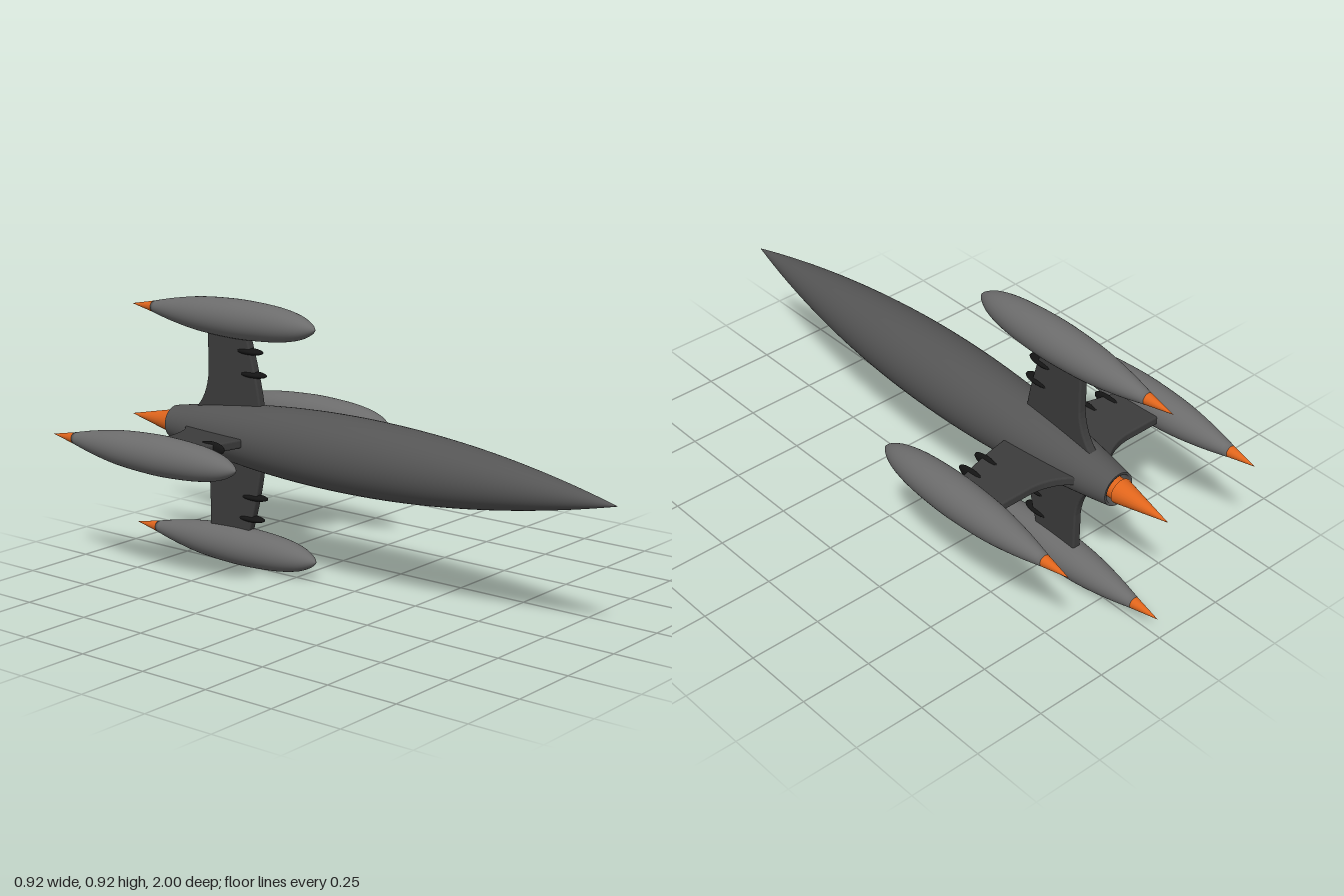
import * as THREE from 'three';

const AXIS_Y = 0.465; // height of the fuselage axis
const ARM = 0.393;    // distance from the axis to each engine pod

const mat = (color) => new THREE.MeshStandardMaterial({ color });
const bodyMat = mat(0x555555);
const podMat = mat(0x6c6c6c);
const finMat = mat(0x3c3c3c);
const gunMat = mat(0x141414);
const flameMat = mat(0xe0651c);

function add(parent, name, geometry, material) {
  const mesh = new THREE.Mesh(geometry, material);
  mesh.name = name;
  parent.add(mesh);
  return mesh;
}

// Surface of revolution around z; points are [radius, z] from back to front
function spin(points, segments = 40) {
  const g = new THREE.LatheGeometry(points.map(([r, z]) => new THREE.Vector2(r, z)), segments);
  return g.rotateX(Math.PI / 2);
}

// Smooth profile through a few [radius, z] points
function smooth(points, n) {
  const curve = new THREE.SplineCurve(points.map(([r, z]) => new THREE.Vector2(r, z)));
  return curve.getPoints(n).map((p) => [Math.max(p.x, 0), p.y]);
}

// Cone with its tip pointing to the back
function flame(radius, zBase, zTip) {
  const g = new THREE.ConeGeometry(radius, zBase - zTip, 24);
  return g.rotateX(-Math.PI / 2).translate(0, 0, (zBase + zTip) / 2);
}

// Swept fin running outward along +x
function finGeometry() {
  const bevel = 0.006;
  const s = new THREE.Shape();
  s.moveTo(0.03, -0.37);
  s.lineTo(0.1, -0.393);
  s.quadraticCurveTo(0.2, -0.405, 0.37, -0.46);
  s.lineTo(0.37, -0.625);
  s.lineTo(0.2, -0.625);
  s.quadraticCurveTo(0.09, -0.635, 0.045, -0.72);
  s.lineTo(0.03, -0.72);
  s.closePath();
  const g = new THREE.ExtrudeGeometry(s, {
    depth: 0.03 - 2 * bevel, curveSegments: 10,
    bevelEnabled: true, bevelSize: bevel, bevelThickness: bevel, bevelOffset: -bevel, bevelSegments: 3,
  });
  return g.translate(0, 0, -(0.015 - bevel)).rotateX(Math.PI / 2);
}

export function createModel() {
  const model = new THREE.Group();
  const ship = new THREE.Group();
  ship.name = 'rocketShip';
  ship.position.y = AXIS_Y;
  model.add(ship);

  // Spindle fuselage, pointed at the front and cut off at the back
  const hull = [];
  for (let i = 0; i <= 40; i++) {
    const z = -0.79 + (1.79 * i) / 40;
    hull.push([Math.max(0, 0.127 * (1 - ((z + 0.03) / 1.03) ** 2)), z]);
  }
  add(ship, 'fuselage', spin(hull, 48), bodyMat);

  // Recessed tail ring, nozzle and main flame
  add(ship, 'tailRing', spin([[0, -0.765], [0.046, -0.765], [0.05, -0.79], [0.058, -0.79]]), bodyMat)
    .material.side = THREE.DoubleSide;
  add(ship, 'mainNozzle', spin([[0.036, -0.81], [0.036, -0.76]]), flameMat);
  add(ship, 'mainFlame', flame(0.042, -0.80, -1.0), flameMat);

  const podGeo = spin([[0, -0.885], ...smooth([
    [0.02, -0.885], [0.04, -0.79], [0.058, -0.67], [0.066, -0.54],
    [0.066, -0.44], [0.058, -0.32], [0.042, -0.235], [0.02, -0.185], [0, -0.163],
  ], 32)]);
  const finGeo = finGeometry();
  const gunGeo = new THREE.SphereGeometry(1, 20, 14).scale(0.012, 0.023, 0.057);
  const podFlameGeo = flame(0.02, -0.884, -0.988);

  // Four identical arms: fin, two wing bulges, engine pod and flame
  for (let k = 0; k < 4; k++) {
    const arm = new THREE.Group();
    arm.name = ['left', 'top', 'right', 'bottom'][k] + 'Arm';
    arm.rotation.z = (k * Math.PI) / 2;
    ship.add(arm);
    add(arm, 'fin', finGeo, finMat);
    add(arm, 'innerBulge', gunGeo, gunMat).position.set(0.212, 0, -0.433);
    add(arm, 'outerBulge', gunGeo, gunMat).position.set(0.289, 0, -0.448);
    add(arm, 'enginePod', podGeo, podMat).position.x = ARM;
    add(arm, 'podFlame', podFlameGeo, flameMat).position.x = ARM;
  }
  return model;
}
